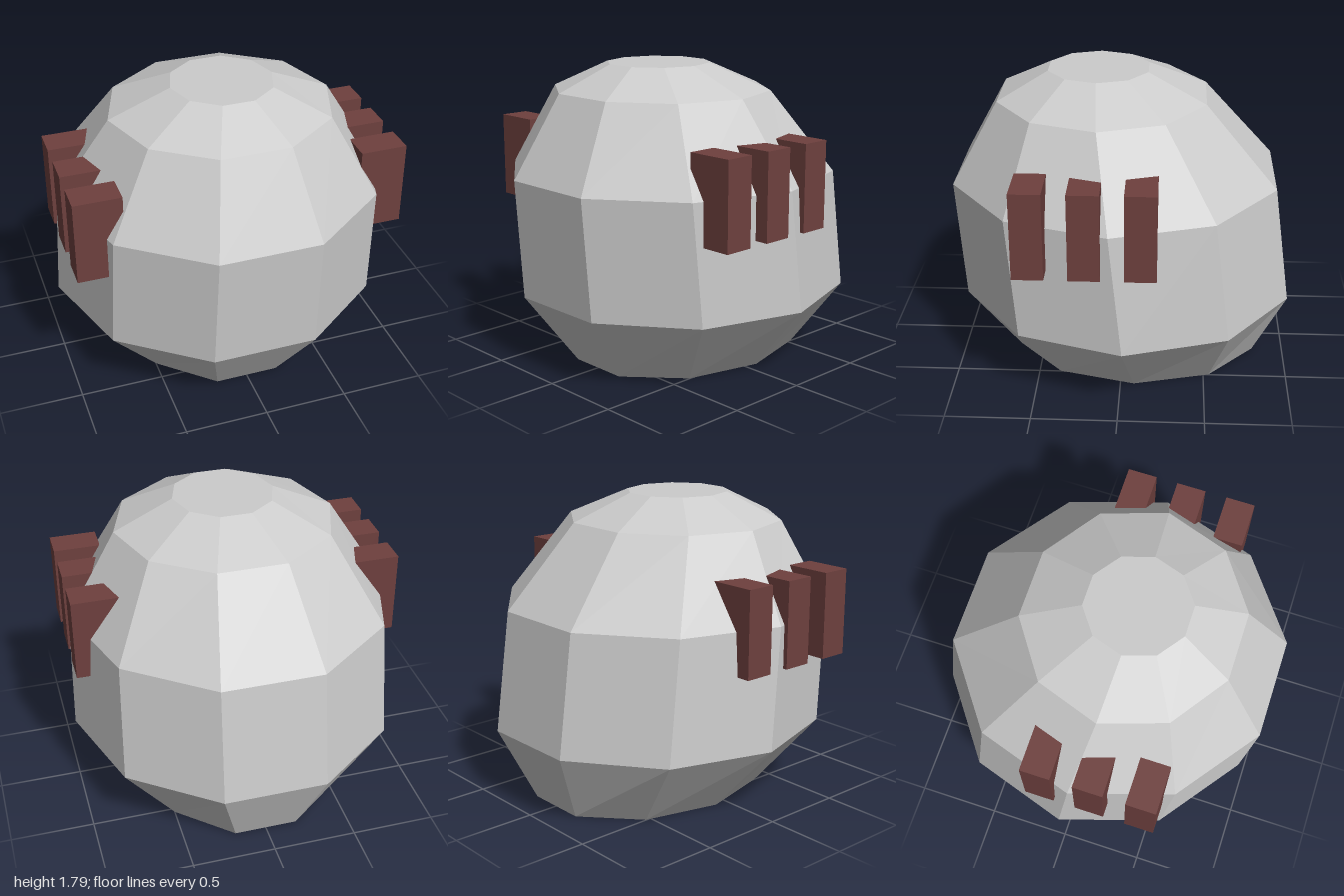
import * as THREE from 'three';

const SIDES = 10;

// Rings of the shell from bottom to top: [height, half-width in x, radius in z, z centre]
const RINGS = [
  [0, 0.615, 0.768, -0.08],
  [0.437, 1.0, 1.025, -0.025],
  [1.155, 0.975, 1.0, 0.05],
  [1.64, 0.665, 0.64, 0.128],
  [1.795, 0.305, 0.308, 0.152],
];

// Faceted ten-sided shell, lofted through the rings and capped at both ends
function shellGeometry() {
  const pos = [];
  const index = [];
  for (const [y, rx, rz, cz] of RINGS) {
    for (let k = 0; k < SIDES; k++) {
      const t = (k / SIDES) * Math.PI * 2;
      pos.push(rx * Math.cos(t), y, cz + rz * Math.sin(t));
    }
  }
  const top = (RINGS.length - 1) * SIDES;
  for (let r = 0; r < RINGS.length - 1; r++) {
    for (let k = 0; k < SIDES; k++) {
      const a = r * SIDES + k;
      const b = r * SIDES + ((k + 1) % SIDES);
      index.push(b, a, a + SIDES, b, a + SIDES, b + SIDES);
    }
  }
  for (let k = 1; k < SIDES - 1; k++) {
    index.push(0, k, k + 1);
    index.push(top, top + k + 1, top + k);
  }
  const geo = new THREE.BufferGeometry();
  geo.setAttribute('position', new THREE.Float32BufferAttribute(pos, 3));
  geo.setIndex(index);
  const flat = geo.toNonIndexed();
  flat.computeVertexNormals();
  return flat;
}

export function createModel() {
  const model = new THREE.Group();
  const shellMat = new THREE.MeshStandardMaterial({ color: 0xcccccc, flatShading: true });
  const finMat = new THREE.MeshStandardMaterial({ color: 0x6e403e, flatShading: true });

  const shell = new THREE.Mesh(shellGeometry(), shellMat);
  shell.name = 'shell';
  model.add(shell);

  // Three upright fins on each side, sunk into the shell
  const finGeo = new THREE.BoxGeometry(0.28, 0.51, 0.177);
  for (const side of [1, -1]) {
    const fins = new THREE.Group();
    fins.name = side > 0 ? 'leftFins' : 'rightFins';
    [0.488, 0.18, -0.128].forEach((z, i) => {
      const fin = new THREE.Mesh(finGeo, finMat);
      fin.name = 'fin' + (i + 1);
      fin.position.set(side * 0.848, 1.155, z);
      fins.add(fin);
    });
    model.add(fins);
  }
  return model;
}
